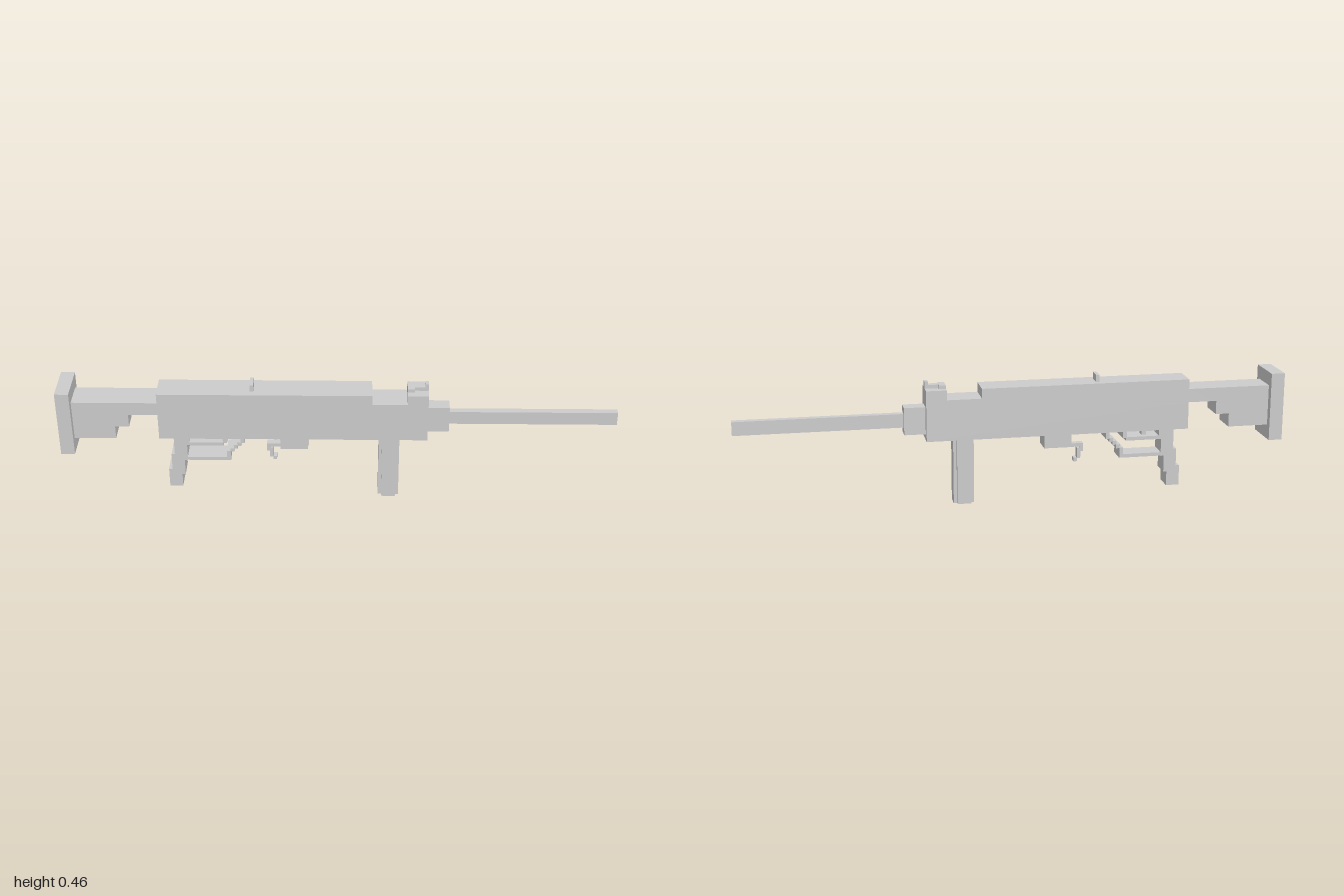
import * as THREE from 'three';

const material = new THREE.MeshStandardMaterial({ color: 0xcccccc, flatShading: true });

// Box given by its limits along x, y and z
function block(name, [x0, x1], [y0, y1], [z0, z1]) {
  const mesh = new THREE.Mesh(new THREE.BoxGeometry(x1 - x0, y1 - y0, z1 - z0), material);
  mesh.position.set((x0 + x1) / 2, (y0 + y1) / 2, (z0 + z1) / 2);
  mesh.name = name;
  return mesh;
}

// Stepped side outline extruded evenly about z = 0
function slab(name, points, halfWidth) {
  const shape = new THREE.Shape(points.map(([x, y]) => new THREE.Vector2(x, y)));
  const geometry = new THREE.ExtrudeGeometry(shape, { depth: halfWidth * 2, bevelEnabled: false });
  geometry.translate(0, 0, -halfWidth);
  const mesh = new THREE.Mesh(geometry, material);
  mesh.name = name;
  return mesh;
}

function assembly(name, ...parts) {
  const group = new THREE.Group();
  group.name = name;
  group.add(...parts);
  return group;
}

const both = (h) => [-h, h];

export function createModel() {
  const model = new THREE.Group();
  model.name = 'blockyLongGun';

  // Receiver and stepped stock share one outline
  model.add(slab('receiverAndStock', [
    [-0.95, 0.248], [-0.80, 0.248], [-0.80, 0.298], [-0.75, 0.298], [-0.75, 0.348],
    [-0.645, 0.348], [-0.645, 0.248], [0.32, 0.248], [0.32, 0.434], [0.246, 0.434],
    [0.246, 0.398], [0.12, 0.398], [0.12, 0.434], [-0.645, 0.434], [-0.645, 0.398],
    [-0.95, 0.398],
  ], 0.051));
  model.add(block('buttPlate', [-1, -0.95], [0.195, 0.447], both(0.076)));

  // Barrel
  model.add(block('barrelCollar', [0.32, 0.397], [0.27, 0.37], both(0.026)));
  model.add(block('barrel', [0.397, 1], [0.295, 0.345], both(0.0125)));

  // Sights
  model.add(block('rearSight', [-0.315, -0.302], [0.434, 0.46], both(0.026)));
  model.add(assembly('frontSight',
    block('sightCrossbar', [0.246, 0.271], [0.434, 0.447], both(0.026)),
    block('sightRib', [0.271, 0.32], [0.434, 0.447], both(0.0125)),
    block('sightPost', [0.308, 0.32], [0.447, 0.46], both(0.0125))));

  // Front grip: two crossed blocks, set slightly towards +z
  model.add(assembly('frontGrip',
    block('gripCoreWide', [0.145, 0.22], [0, 0.248], [-0.0125, 0.038]),
    block('gripCoreDeep', [0.157, 0.208], [0, 0.248], [-0.026, 0.051])));

  // Rear grip leaning back in steps
  model.add(slab('rearGrip', [
    [-0.62, 0.03], [-0.572, 0.03], [-0.572, 0.083], [-0.56, 0.083], [-0.56, 0.145],
    [-0.548, 0.145], [-0.548, 0.21], [-0.54, 0.21], [-0.54, 0.248], [-0.595, 0.248],
    [-0.595, 0.17], [-0.607, 0.17], [-0.607, 0.105], [-0.62, 0.105],
  ], 0.0375));

  // Trigger guard with a stepped front
  const guard = assembly('triggerGuard',
    block('guardBar', [-0.555, -0.393], [0.146, 0.159], both(0.0375)));
  const steps = [[-0.405, 0.146, 0.185], [-0.392, 0.183, 0.198],
    [-0.379, 0.197, 0.212], [-0.366, 0.209, 0.224], [-0.353, 0.221, 0.248]];
  for (const [x, y0, y1] of steps) guard.add(block('guardStep', [x, x + 0.014], [y0, y1], both(0.0375)));
  model.add(guard);

  // Trigger unit just under the receiver
  model.add(assembly('trigger',
    block('triggerBar', [-0.548, -0.415], [0.21, 0.223], both(0.0375)),
    block('triggerFront', [-0.418, -0.403], [0.22, 0.248], both(0.0375)),
    block('triggerStepRear', [-0.522, -0.497], [0.235, 0.248], both(0.0125)),
    block('triggerStepFront', [-0.497, -0.48], [0.223, 0.24], both(0.0125))));

  // Magazine block and its hooked release lever
  model.add(block('magazineBlock', [-0.21, -0.11], [0.197, 0.248], both(0.0375)));
  model.add(assembly('releaseLever',
    block('leverArm', [-0.26, -0.2], [0.19, 0.203], both(0.0125)),
    block('leverUpper', [-0.26, -0.247], [0.172, 0.19], both(0.0125)),
    block('leverLower', [-0.25, -0.237], [0.146, 0.185], both(0.0125)),
    block('leverTip', [-0.238, -0.225], [0.134, 0.148], both(0.0125))));

  return model;
}
